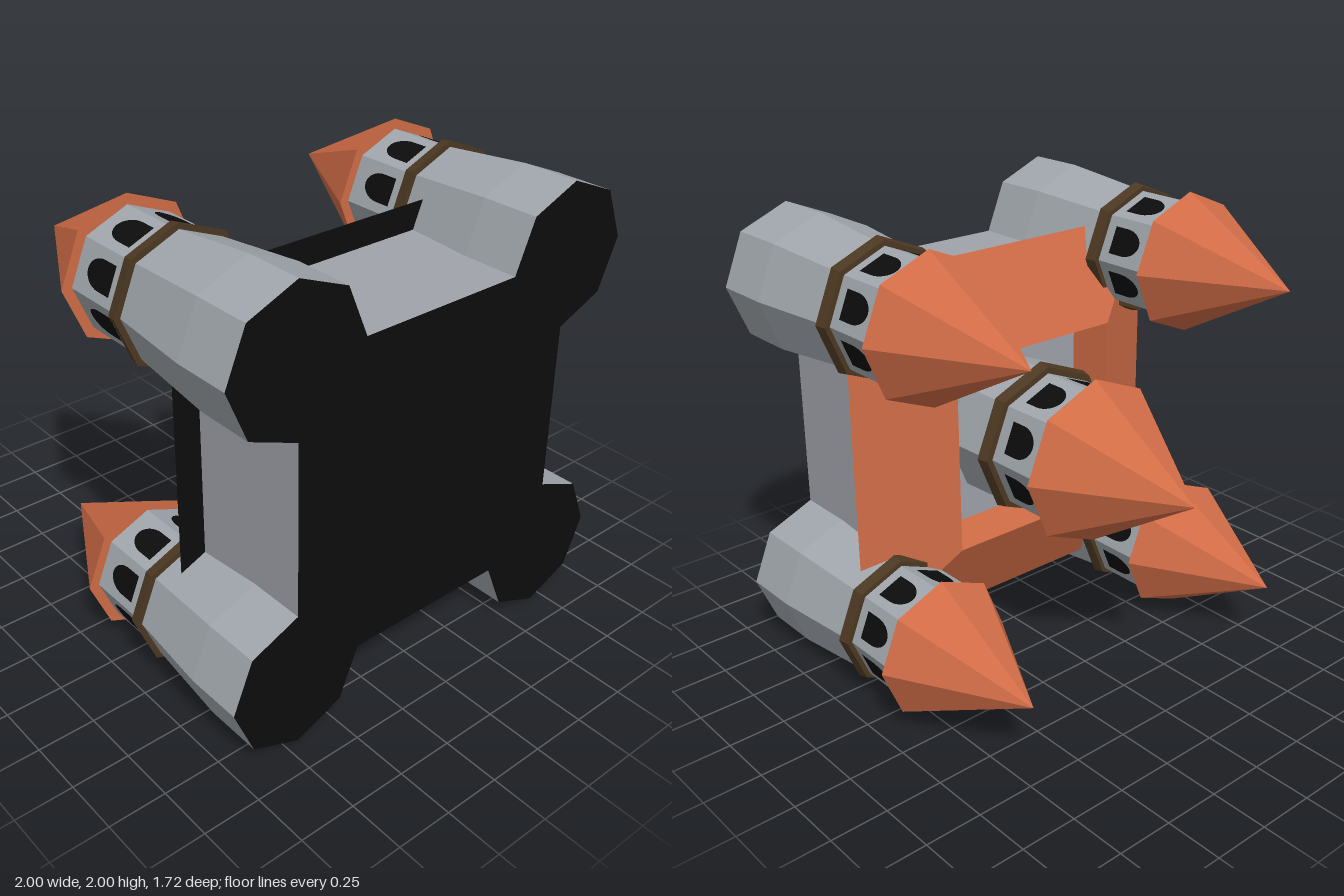
import * as THREE from 'three';

function mat(name, color) {
  const m = new THREE.MeshStandardMaterial({ color, flatShading: true });
  m.name = name;
  return m;
}

export function createModel() {
  const wallGrey = mat('wallGrey', 0xa0a2ab);
  const towerGrey = mat('towerGrey', 0xa0a6ac);
  const roofRed = mat('roofRed', 0xd06c46);
  const trimBrown = mat('trimBrown', 0x4c3822);
  const black = mat('black', 0x0c0c0c);
  const roofInside = mat('roofInside', 0xd06c46);
  roofInside.side = THREE.DoubleSide;

  const model = new THREE.Group();
  model.name = 'castle';
  // The castle is built upright, then laid over so its base faces +z
  const castle = new THREE.Group();
  castle.name = 'castleBody';
  castle.rotation.x = -Math.PI / 2;
  castle.position.set(0, 1, 0.86);
  model.add(castle);

  function add(parent, name, geometry, material) {
    const mesh = new THREE.Mesh(geometry, material);
    mesh.name = name;
    parent.add(mesh);
    return mesh;
  }

  // Eight-sided section from height y0 to y1
  function section(parent, name, r0, r1, y0, y1, material) {
    const g = new THREE.CylinderGeometry(r1, r0, y1 - y0, 8);
    g.translate(0, (y0 + y1) / 2, 0);
    return add(parent, name, g, material);
  }

  // Round-topped window plates, one on each side of a drum
  function windows(parent, radius, y, w, h) {
    const straight = h * 0.45;
    const s = new THREE.Shape();
    s.moveTo(-w / 2, 0);
    s.lineTo(w / 2, 0);
    s.lineTo(w / 2, straight);
    s.absellipse(0, straight, w / 2, h - straight, 0, Math.PI, false);
    s.closePath();
    const g = new THREE.ShapeGeometry(s, 8);
    const d = radius * Math.cos(Math.PI / 8) + 0.004;
    for (let i = 0; i < 8; i++) {
      const a = (i + 0.5) * Math.PI / 4;
      const win = add(parent, 'window', g, black);
      win.position.set(d * Math.sin(a), y, d * Math.cos(a));
      win.rotation.y = a;
    }
  }

  // Square keep walls with a dark base
  const walls = new THREE.BoxGeometry(1.38, 0.58, 1.38);
  walls.translate(0, 0.29, 0);
  add(castle, 'walls', walls, [wallGrey, wallGrey, wallGrey, black, wallGrey, wallGrey]);

  // Four-sided sloped roof around an open court
  function square(top, bottom, y0, y1) {
    const g = new THREE.CylinderGeometry(top * Math.SQRT2, bottom * Math.SQRT2, y1 - y0, 4, 1, true);
    g.rotateY(Math.PI / 4);
    g.translate(0, (y0 + y1) / 2, 0);
    return g;
  }
  add(castle, 'mainRoof', square(0.42, 0.81, 0.58, 0.78), roofRed);
  add(castle, 'courtRoofLining', square(0.42, 0.4, 0.581, 0.78), roofInside);
  const under = new THREE.PlaneGeometry(1.62, 1.62);
  under.rotateX(Math.PI / 2);
  under.translate(0, 0.58, 0);
  add(castle, 'roofUnderside', under, black);

  // Corner towers
  for (const sx of [-1, 1]) {
    for (const sz of [-1, 1]) {
      const t = new THREE.Group();
      t.name = 'cornerTower';
      t.position.set(sx * 0.69, 0, sz * 0.69);
      castle.add(t);
      section(t, 'towerBase', 0.31, 0.31, 0, 0.26, [towerGrey, towerGrey, black]);
      section(t, 'towerTaper', 0.31, 0.27, 0.26, 0.66, towerGrey);
      section(t, 'towerTrim', 0.297, 0.287, 0.66, 0.71, trimBrown);
      section(t, 'towerDrum', 0.265, 0.265, 0.71, 0.99, towerGrey);
      windows(t, 0.265, 0.76, 0.12, 0.16);
      section(t, 'towerRoof', 0.31, 0, 0.99, 1.56, roofRed);
    }
  }

  // Central tower
  const c = new THREE.Group();
  c.name = 'centralTower';
  castle.add(c);
  section(c, 'towerBase', 0.33, 0.32, 0.5, 0.81, towerGrey);
  section(c, 'towerTrim', 0.35, 0.338, 0.81, 0.86, trimBrown);
  section(c, 'towerDrum', 0.31, 0.31, 0.86, 1.15, towerGrey);
  windows(c, 0.31, 0.92, 0.14, 0.15);
  section(c, 'towerRoof', 0.367, 0, 1.15, 1.72, roofRed);

  return model;
}
